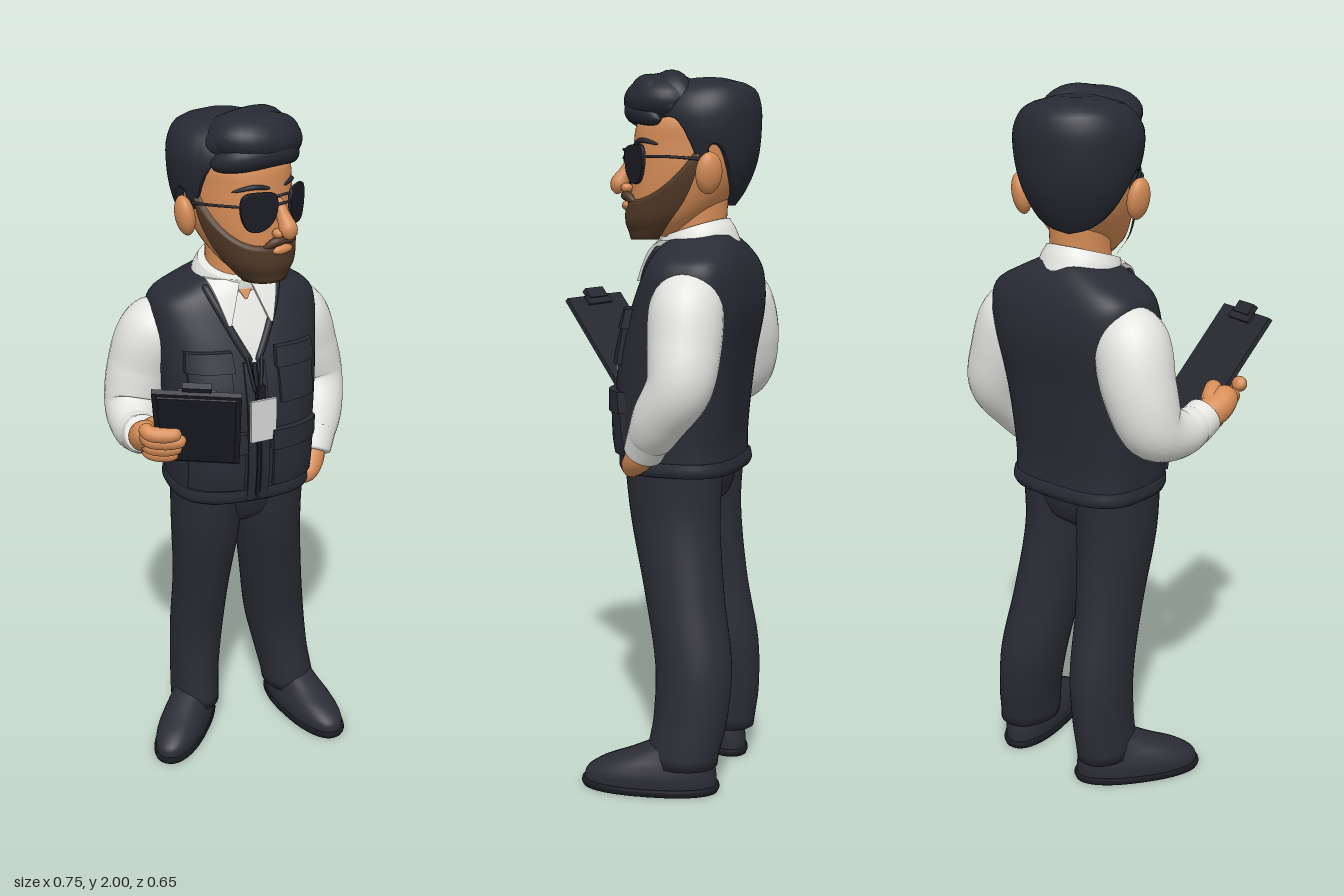
import * as THREE from 'three';

const mat = (name, color) => { const m = new THREE.MeshStandardMaterial({ color }); m.name = name; return m; };
const M = {
  vest: mat('vest navy', 0x292b35), trousers: mat('trouser charcoal', 0x2b2c35), hair: mat('hair black', 0x272933),
  shirt: mat('shirt white', 0xe4e4e1), skin: mat('skin', 0xd58c56), beard: mat('beard brown', 0x513927),
  black: mat('gloss black', 0x1b1c23), board: mat('board black', 0x282932), badge: mat('badge grey', 0xd6d6d6),
};
const V = (x, y, z) => new THREE.Vector3(x, y, z);
const lerp = THREE.MathUtils.lerp;

function add(parent, name, geo, material) {
  const mesh = new THREE.Mesh(geo, material);
  mesh.name = name;
  parent.add(mesh);
  return mesh;
}

// Smooth lookup in a table whose first column is the key
function at(tab, y) {
  const n = tab.length;
  let i = 0;
  while (i < n - 2 && y > tab[i + 1][0]) i++;
  const a = tab[i], b = tab[i + 1], h = b[0] - a[0];
  const t = THREE.MathUtils.clamp((y - a[0]) / h, 0, 1);
  const p = tab[Math.max(i - 1, 0)], q = tab[Math.min(i + 2, n - 1)];
  return a.map((v, k) => {
    const m0 = (b[k] - p[k]) / (b[0] - p[0]) * h, m1 = (q[k] - v) / (q[0] - a[0]) * h;
    const t2 = t * t, t3 = t2 * t;
    return (2 * t3 - 3 * t2 + 1) * v + (t3 - 2 * t2 + t) * m0 + (3 * t2 - 2 * t3) * b[k] + (t3 - t2) * m1;
  });
}

// Surface through rows of points
function skin(rows, closed = true) {
  const n = rows[0].length, idx = [];
  for (let i = 0; i < rows.length - 1; i++)
    for (let j = 0; j < (closed ? n : n - 1); j++) {
      const k = (j + 1) % n, a = i * n + j, b = i * n + k, c = b + n, d = a + n;
      idx.push(a, b, c, a, c, d);
    }
  const g = new THREE.BufferGeometry().setFromPoints(rows.flat());
  g.setIndex(idx);
  g.computeVertexNormals();
  return g;
}

// Point on a stack of [y, cx, cz, rx, rz] sections; angle 0 is the front
function onStack(tab, y, ang, p = 2, grow = 0, scale = 1) {
  const [, cx, cz, rx, rz] = at(tab, y), s = Math.sin(ang), c = Math.cos(ang);
  const f = v => Math.sign(v) * Math.pow(Math.abs(v), 2 / p) * scale;
  return V(cx + (rx + grow) * f(s), y, cz + (rz + grow) * f(c));
}

// Capped solid through horizontal sections; the back half may be squarer
function loft(tab, p = 2, n = 40, m = 28, back = p) {
  const rows = [], y0 = tab[0][0], y1 = tab[tab.length - 1][0];
  for (let k = -1; k <= m + 1; k++) {
    const y = lerp(y0, y1, THREE.MathUtils.clamp(k / m, 0, 1));
    const scale = k < 0 || k > m ? 0 : 1;
    rows.push(Array.from({ length: n }, (_, j) => {
      const a = j / n * Math.PI * 2;
      return onStack(tab, y, a, Math.cos(a) < 0 ? back : p, 0, scale);
    }));
  }
  return skin(rows);
}

// Round limb through [x, y, z, radius] points, ends rounded by a power
function limb(pts, power = 20, n = 20, m = 28) {
  const curve = new THREE.CatmullRomCurve3(pts.map(p => V(p[0], p[1], p[2])));
  const fr = curve.computeFrenetFrames(m, false), radii = pts.map((p, i) => [i / (pts.length - 1), p[3]]);
  const rows = [];
  for (let i = 0; i <= m; i++) {
    const t = i / m, u = curve.getUtoTmapping(t), c = curve.getPoint(u);
    const r = at(radii, u)[1] * Math.sqrt(Math.max(0, 1 - Math.pow(2 * t - 1, power)));
    rows.push(Array.from({ length: n }, (_, j) => {
      const a = j / n * Math.PI * 2;
      return c.clone().addScaledVector(fr.normals[i], r * Math.cos(a)).addScaledVector(fr.binormals[i], r * Math.sin(a));
    }));
  }
  return skin(rows);
}

function ball(parent, name, material, pos, scale) {
  const m = add(parent, name, new THREE.SphereGeometry(1, 32, 20), material);
  m.position.set(...pos);
  m.scale.set(...scale);
  return m;
}

const TORSO = [[0.9, 0, -0.115, 0.208, 0.165], [1.0, 0, -0.105, 0.213, 0.172], [1.2, 0.002, -0.118, 0.226, 0.178],
  [1.35, 0.005, -0.152, 0.24, 0.168], [1.44, 0.005, -0.167, 0.245, 0.147], [1.485, 0.005, -0.17, 0.225, 0.13],
  [1.525, 0.005, -0.17, 0.15, 0.11], [1.555, 0.005, -0.17, 0.085, 0.085]];
const TP = 2.6, BACK = 3.1;
function frontZ(x, y) {
  const [, cx, cz, rx, rz] = at(TORSO, y);
  return cz + rz * Math.pow(Math.max(0, 1 - Math.pow(Math.abs(x - cx) / rx, TP)), 1 / TP);
}

// Panel bent over the chest, with [left, right] edges at its bottom and top
function panel(parent, name, material, y0, y1, low, high, t, side = 1) {
  const g = new THREE.BoxGeometry(1, 1, 1, 10, 10, 1), p = g.attributes.position;
  const e = a => side < 0 ? [-a[1], -a[0]] : a, lo = e(low), hi = e(high);
  for (let i = 0; i < p.count; i++) {
    const u = p.getX(i) + 0.5, v = p.getY(i) + 0.5, y = lerp(y0, y1, v);
    const x = lerp(lerp(lo[0], hi[0], v), lerp(lo[1], hi[1], v), u);
    p.setXYZ(i, x, y, frontZ(x, y) + (p.getZ(i) > 0 ? t : -0.01));
  }
  g.computeVertexNormals();
  return add(parent, name, g, material);
}

function buildVest(root) {
  const g = new THREE.Group(); g.name = 'upperBody'; root.add(g);
  add(g, 'vest', loft(TORSO, TP, 64, 48, BACK), M.vest);
  add(g, 'vestHem', loft([[0.895, 0, -0.115, 0.21, 0.168], [0.91, 0, -0.115, 0.216, 0.174], [0.935, 0, -0.113, 0.214, 0.172]], TP, 64, 8, BACK), M.vest);
  panel(g, 'shirtFront', M.shirt, 1.32, 1.525, [-0.008, 0.008], [-0.095, 0.095], 0.008);
  panel(g, 'openNeck', M.skin, 1.485, 1.53, [-0.003, 0.003], [-0.03, 0.03], 0.014);
  panel(g, 'zip', M.black, 0.9, 1.32, [-0.005, 0.005], [-0.005, 0.005], 0.007);
  for (const s of [-1, 1]) {
    panel(g, 'placket', M.vest, 0.9, 1.32, [0.008, 0.032], [0.008, 0.032], 0.008, s);
    panel(g, 'chestPocket', M.vest, 1.2, 1.33, [0.07, 0.185], [0.07, 0.185], 0.014, s);
    panel(g, 'chestPocketFlap', M.vest, 1.3, 1.355, [0.062, 0.192], [0.065, 0.188], 0.022, s);
    panel(g, 'lowerPocket', M.vest, 0.945, 1.1, [0.045, 0.192], [0.045, 0.192], 0.014, s);
    panel(g, 'lowerPocketFlap', M.vest, 1.065, 1.125, [0.038, 0.197], [0.04, 0.195], 0.022, s);
    panel(g, 'collarFlap', M.shirt, 1.425, 1.54, [0.058, 0.066], [0.014, 0.1], 0.026, s);
    const edge = [[0.108, 1.525], [0.085, 1.47], [0.052, 1.4], [0.008, 1.315]];
    add(g, 'neckEdge', limb(edge.map(([x, y]) => [s * x, y, frontZ(s * x, y) + 0.004, 0.011])), M.vest);
    const cord = [[0.022, 1.34], [0.016, 1.29], [0.008, 1.24]];
    add(g, 'lanyard', limb(cord.map(([x, y]) => [s * x, y, frontZ(s * x, y) + 0.012, 0.005])), M.black);
  }
  const clip = add(g, 'badgeClip', new THREE.BoxGeometry(0.022, 0.04, 0.012), M.black);
  clip.position.set(0.008, 1.24, 0.07);
  const badge = add(g, 'badge', new THREE.BoxGeometry(0.08, 0.125, 0.009), M.badge);
  badge.position.set(0.01, 1.16, 0.08);
  badge.rotation.y = 0.1;
  // Collar stand and neck
  const collar = add(g, 'collar', loft([[-0.05, 0, 0, 0.118, 0.118], [0, 0, 0, 0.112, 0.113], [0.03, 0, 0, 0.098, 0.105]]), M.shirt);
  collar.position.set(0, 1.542, -0.146);
  collar.rotation.x = 0.3;
  add(g, 'neck', loft([[1.48, 0, -0.145, 0.085, 0.088], [1.58, 0.005, -0.145, 0.08, 0.086], [1.7, 0.005, -0.15, 0.082, 0.088]]), M.skin);
}

function buildLegs(root) {
  const g = new THREE.Group(); g.name = 'lowerBody'; root.add(g);
  add(g, 'hips', loft([[0.775, 0, -0.12, 0.04, 0.06], [0.82, 0, -0.12, 0.15, 0.115], [0.95, 0, -0.115, 0.198, 0.15]], 2.2), M.trousers);
  add(g, 'leftTrouserLeg', loft([[0.08, 0.203, -0.18, 0.083, 0.1], [0.11, 0.2, -0.18, 0.084, 0.103], [0.2, 0.184, -0.195, 0.087, 0.106],
    [0.35, 0.159, -0.196, 0.096, 0.11], [0.55, 0.128, -0.157, 0.097, 0.115], [0.76, 0.101, -0.12, 0.1, 0.13], [0.93, 0.096, -0.113, 0.105, 0.145]], 2), M.trousers);
  add(g, 'rightTrouserLeg', loft([[0.08, -0.122, -0.192, 0.075, 0.1], [0.11, -0.122, -0.194, 0.075, 0.102], [0.2, -0.118, -0.203, 0.075, 0.105],
    [0.35, -0.11, -0.199, 0.08, 0.108], [0.55, -0.105, -0.158, 0.084, 0.113], [0.76, -0.101, -0.12, 0.1, 0.13], [0.93, -0.096, -0.113, 0.105, 0.145]], 2.1), M.trousers);
  for (const [name, x, z, yaw, k] of [['leftShoe', 0.225, -0.09, 0.2, 1], ['rightShoe', -0.18, -0.12, -0.65, 0.97]]) {
    const f = new THREE.Group(); f.name = name; g.add(f);
    f.position.set(x, 0, z); f.rotation.y = yaw; f.scale.set(k, 1, k);
    add(f, 'sole', loft([[0, 0, 0, 0.076, 0.193], [0.012, 0, 0, 0.08, 0.198], [0.022, 0, 0, 0.078, 0.196]], 2.3, 40, 6), M.black);
    add(f, 'upper', loft([[0.018, 0, 0, 0.075, 0.191], [0.05, 0, -0.004, 0.076, 0.185], [0.08, 0, -0.024, 0.069, 0.16],
      [0.105, 0, -0.055, 0.061, 0.125], [0.14, 0, -0.09, 0.052, 0.08]], 2.2), M.trousers);
    for (const [lz, ly] of [[0.035, 0.111], [0.06, 0.104], [0.085, 0.096]])
      add(f, 'lace', limb([[-0.03, ly - 0.014, lz, 0.006], [0, ly - 0.006, lz, 0.006], [0.03, ly - 0.014, lz, 0.006]], 6, 8, 10), M.trousers);
  }
}

function buildArms(root) {
  const g = new THREE.Group(); g.name = 'arms'; root.add(g);
  add(g, 'leftSleeve', limb([[0.16, 1.41, -0.185, 0.07], [0.21, 1.365, -0.188, 0.1], [0.25, 1.26, -0.195, 0.1], [0.281, 1.16, -0.192, 0.09],
    [0.27, 1.07, -0.135, 0.077], [0.24, 0.99, -0.085, 0.06]], 30, 28, 44), M.shirt);
  add(g, 'leftCuff', limb([[0.256, 1.03, -0.105, 0.066], [0.228, 0.96, -0.068, 0.055]], 20), M.shirt);
  add(g, 'leftHand', limb([[0.235, 0.995, -0.085, 0.04], [0.216, 0.945, -0.05, 0.04], [0.195, 0.918, -0.025, 0.03], [0.16, 0.9, -0.02, 0.02]], 8), M.skin);
  add(g, 'rightSleeve', limb([[-0.16, 1.41, -0.19, 0.07], [-0.214, 1.365, -0.2, 0.102], [-0.257, 1.25, -0.215, 0.1], [-0.29, 1.14, -0.192, 0.086],
    [-0.312, 1.11, -0.1, 0.065], [-0.317, 1.13, -0.025, 0.052]], 30, 28, 44), M.shirt);
  add(g, 'rightCuff', limb([[-0.315, 1.112, -0.06, 0.058], [-0.318, 1.138, 0.0, 0.054]], 20), M.shirt);
  // Clipboard frame: x across, y up the board, z towards its underside
  const w = V(0.926, -0.043, 0.377).normalize(), h = V(-0.214, 0.774, 0.6), n = w.clone().cross(h).normalize();
  h.crossVectors(n, w);
  const b = new THREE.Group(); b.name = 'clipboardAndHand'; g.add(b);
  b.quaternion.setFromRotationMatrix(new THREE.Matrix4().makeBasis(w, h, n));
  b.position.set(-0.28, 1.055, -0.004);
  add(b, 'clipboard', new THREE.BoxGeometry(0.233, 0.4, 0.014), M.board).position.set(0.117, 0.2, 0);
  add(b, 'boardBackPlate', new THREE.BoxGeometry(0.205, 0.37, 0.006), M.board).position.set(0.117, 0.2, 0.009);
  add(b, 'clipBase', new THREE.BoxGeometry(0.1, 0.03, 0.012), M.board).position.set(0.117, 0.38, -0.01);
  add(b, 'clipLever', new THREE.BoxGeometry(0.075, 0.035, 0.018), M.board).position.set(0.117, 0.402, -0.012);
  add(b, 'palm', limb([[-0.035, 0.04, -0.06, 0.038], [-0.034, 0.1, -0.018, 0.044], [-0.02, 0.175, 0.002, 0.034]], 6), M.skin);
  for (let i = 0; i < 4; i++) {
    const y = 0.08 + i * 0.04, r = 0.024 - Math.abs(i - 1.5) * 0.0015, x = 0.088 - Math.abs(i - 2) * 0.012;
    add(b, 'finger', limb([[-0.03, y, -0.004, r], [-0.014, y, 0.02, r], [0.03, y, 0.026, r], [x, y + 0.004, 0.02, r * 0.85]], 8, 14, 20), M.skin);
  }
  add(b, 'thumb', limb([[-0.035, 0.09, -0.03, 0.03], [-0.008, 0.13, -0.034, 0.028], [0.025, 0.165, -0.026, 0.021]], 8), M.skin);
}

const HEAD = [[1.55, 0, 0.125, 0.055, 0.06], [1.59, 0, 0.1, 0.092, 0.1], [1.65, 0, 0.062, 0.118, 0.136], [1.72, 0, 0.035, 0.135, 0.158],
  [1.8, 0, 0.02, 0.14, 0.168], [1.87, 0, 0.01, 0.138, 0.162], [1.95, 0, 0, 0.08, 0.09]];
const HAIR = [[1.62, 0, -0.04, 0.065, 0.045], [1.68, 0, -0.035, 0.11, 0.092], [1.76, 0, -0.02, 0.153, 0.138], [1.86, 0, -0.005, 0.174, 0.163],
  [1.92, 0, -0.01, 0.162, 0.153], [1.96, 0, -0.02, 0.122, 0.118], [1.98, 0, -0.02, 0.05, 0.05]];
// Lower hair edge by angle from the front
const HAIRLINE = [[0, 1.87], [0.95, 1.865], [1.15, 1.82], [1.25, 1.745], [1.42, 1.745], [1.52, 1.79], [1.75, 1.785], [1.95, 1.7], [2.4, 1.655], [3.15, 1.635]];

function buildHead(root) {
  const g = new THREE.Group(); g.name = 'head'; root.add(g);
  g.position.set(-0.003, 0, -0.155); g.rotation.y = 0.42;
  add(g, 'face', loft(HEAD, 2.15), M.skin);
  // Hair cap, its first row tucked inwards
  const cap = [], cols = 96;
  for (let i = -1; i <= 25; i++)
    cap.push(Array.from({ length: cols }, (_, j) => {
      const a = j / cols * Math.PI * 2, lo = at(HAIRLINE, Math.min(a, Math.PI * 2 - a))[1];
      const y = lerp(lo, 1.98, THREE.MathUtils.clamp(i / 24, 0, 1));
      return onStack(HAIR, y, a, 2, 0, i < 0 ? 0.6 : i > 24 ? 0 : 1);
    }));
  add(g, 'hairCap', skin(cap), M.hair);
  ball(g, 'quiffBase', M.hair, [0, 1.92, 0.1], [0.143, 0.076, 0.115]).rotation.z = -0.08;
  const locks = [
    [[-0.14, 1.865, 0.07, 0.028], [-0.09, 1.885, 0.145, 0.036], [0.02, 1.893, 0.177, 0.036], [0.125, 1.86, 0.125, 0.024]],
    [[-0.13, 1.9, 0.04, 0.04], [-0.07, 1.935, 0.12, 0.05], [0.05, 1.935, 0.145, 0.05], [0.135, 1.885, 0.08, 0.03]],
    [[-0.11, 1.92, 0.01, 0.04], [-0.02, 1.942, 0.075, 0.055], [0.06, 1.94, 0.085, 0.055], [0.13, 1.895, 0.04, 0.035]],
  ];
  for (const l of locks) add(g, 'quiffLock', limb(l, 6), M.hair);
  // Beard wrapped over the jaw, with moustache
  const beard = [];
  for (let i = -1; i <= 14; i++)
    beard.push(Array.from({ length: 49 }, (_, j) => {
      const a = lerp(-1.6, 1.6, j / 48), top = 1.65 + 0.115 * Math.pow(Math.abs(a) / 1.5, 4);
      const y = lerp(1.55, top, Math.max(i, 0) / 14);
      const p = onStack(HEAD, y, a, 2.15, i === 14 ? 0 : 0.011, i < 0 ? 0 : 1);
      if (i < 2) p.y -= 0.008 * (2 - Math.max(i, 0)) / 2;
      return p;
    }));
  add(g, 'beard', skin(beard, false), M.beard);
  add(g, 'moustache', limb([[-0.055, 1.642, 0.185, 0.01], [-0.025, 1.661, 0.206, 0.013], [0, 1.664, 0.212, 0.012], [0.025, 1.661, 0.206, 0.013], [0.055, 1.642, 0.185, 0.01]], 4), M.beard);
  ball(g, 'lips', M.skin, [0, 1.636, 0.207], [0.036, 0.013, 0.014]);
  add(g, 'nose', limb([[0, 1.775, 0.185, 0.014], [0, 1.73, 0.208, 0.019], [0, 1.69, 0.228, 0.027], [0, 1.68, 0.215, 0.022]], 6), M.skin);
  // Aviator lens outline
  const outline = [[-0.045, 0.04], [0, 0.048], [0.045, 0.042], [0.052, 0.0], [0.03, -0.046], [-0.008, -0.05], [-0.042, -0.02]];
  for (const s of [-1, 1]) {
    ball(g, 'ear', M.skin, [s * 0.162, 1.72, -0.005], [0.026, 0.056, 0.038]).rotation.set(0, s * 0.35, -s * 0.15);
    ball(g, 'nostril', M.skin, [s * 0.02, 1.684, 0.208], [0.014, 0.013, 0.017]);
    add(g, 'eyebrow', limb([[s * 0.025, 1.803, 0.185, 0.005], [s * 0.07, 1.81, 0.169, 0.007], [s * 0.115, 1.797, 0.127, 0.004]], 6, 10), M.hair);
    const e = new THREE.Group(); e.name = 'lensAssembly'; g.add(e);
    e.position.set(s * 0.07, 1.748, 0.187); e.rotation.y = s * 0.42;
    const pts = outline.map(([x, y]) => V(s * x, y, 0)), loop = new THREE.CatmullRomCurve3(pts, true);
    const shape = new THREE.Shape(loop.getPoints(40).map(p => new THREE.Vector2(p.x, p.y)));
    add(e, 'lens', new THREE.ExtrudeGeometry(shape, { depth: 0.005, bevelThickness: 0.003, bevelSize: 0.003, bevelSegments: 2 }), M.black);
    add(e, 'lensFrame', new THREE.TubeGeometry(loop, 40, 0.004, 8, true), M.board);
    add(g, 'temple', limb([[s * 0.118, 1.765, 0.166, 0.004], [s * 0.145, 1.763, 0.1, 0.004], [s * 0.155, 1.755, 0.0, 0.004]], 20, 8), M.board);
  }
  for (const y of [1.785, 1.762])
    add(g, 'bridge', limb([[-0.03, y, 0.205, 0.004], [0, y + 0.004, 0.215, 0.004], [0.03, y, 0.205, 0.004]], 20, 8, 10), M.board);
}

export function createModel() {
  const root = new THREE.Group();
  root.name = 'manWithClipboard';
  buildLegs(root);
  buildVest(root);
  buildArms(root);
  buildHead(root);
  return root;
}
